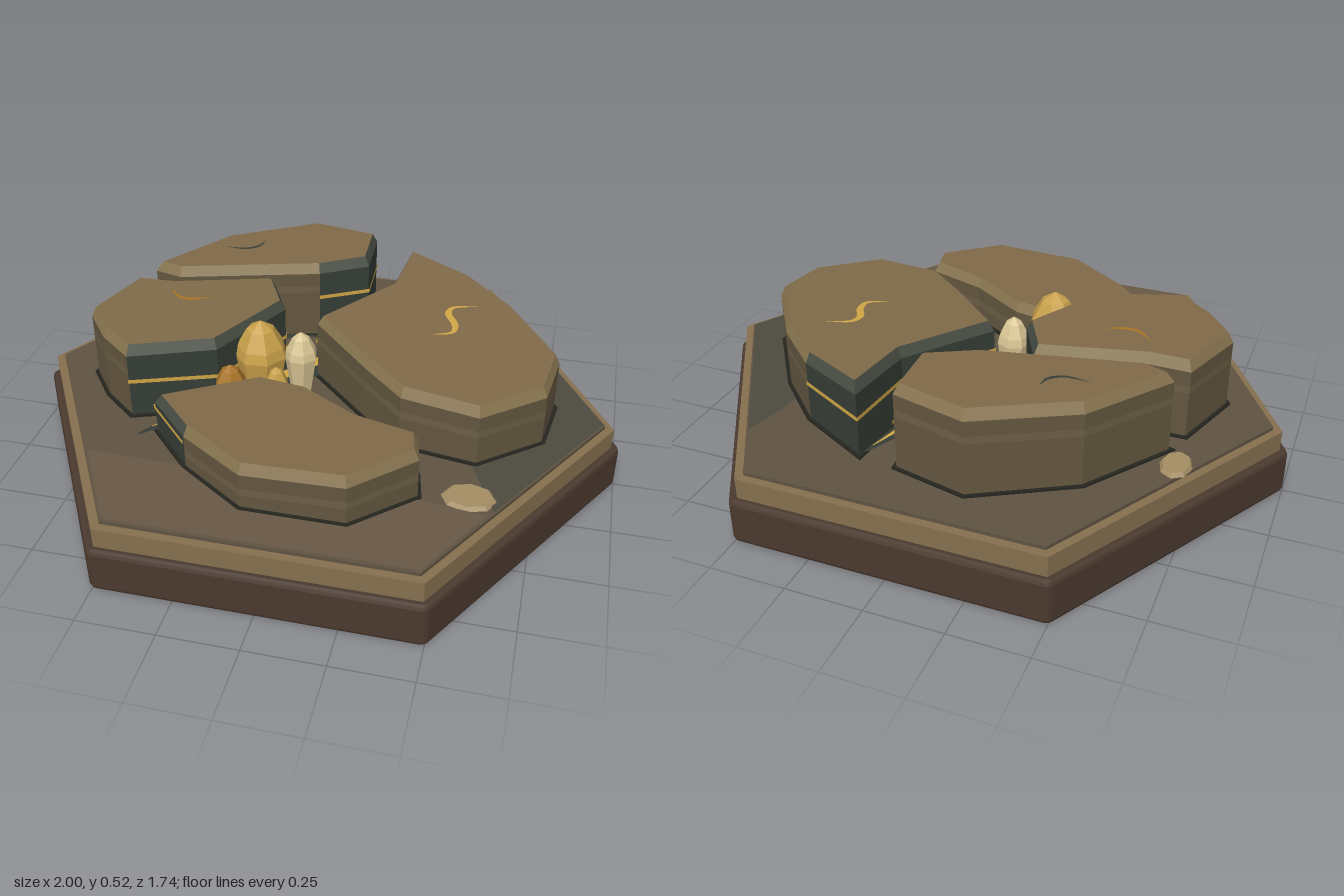
import * as THREE from 'three';

const C = {
  base: 0x4a392e, tier: 0x85704f, floor: 0x5f5342, stain: 0x4d4a3e, warm: 0x675745, dark: 0x24251f,
  side: 0x62563f, band: 0x6b5e45, rim: 0x87744f, top: 0x7f6a48, crack: 0x363d36, crackRim: 0x474d43,
  gold: 0xd0a645, amber: 0xa87428, pale: 0xd9c594, honey: 0xc8a04a, pebble: 0xa38d63,
};
const FLOOR = 0.23;

function add(parent, name, geometry, color, doubleSided = false) {
  const material = new THREE.MeshStandardMaterial({
    color, flatShading: true, side: doubleSided ? THREE.DoubleSide : THREE.FrontSide,
  });
  const mesh = new THREE.Mesh(geometry, material);
  mesh.name = name;
  parent.add(mesh);
  return mesh;
}

function fromPositions(pos) {
  const g = new THREE.BufferGeometry();
  g.setAttribute('position', new THREE.Float32BufferAttribute(pos, 3));
  g.computeVertexNormals();
  return g;
}

// Hexagonal slab with rounded corners and a bevelled edge
function hexSlab(radius, corner, y0, y1, bevel) {
  const shape = new THREE.Shape();
  for (let i = 0; i < 6; i++) {
    const a = i * Math.PI / 3, d = radius - corner;
    shape.absarc(d * Math.cos(a), d * Math.sin(a), corner, a - Math.PI / 6, a + Math.PI / 6, false);
  }
  const g = new THREE.ExtrudeGeometry(shape, {
    depth: y1 - y0 - 2 * bevel, curveSegments: 4, bevelEnabled: bevel > 0,
    bevelThickness: bevel, bevelSize: bevel, bevelOffset: -bevel, bevelSegments: 2,
  });
  return g.translate(0, 0, bevel).rotateX(-Math.PI / 2).translate(0, y0, 0);
}

// Outline moved inward by d (negative moves outward), mitred at the corners
function inset(pts, d) {
  const n = pts.length;
  const normal = (a, b) => {
    const l = Math.hypot(b[0] - a[0], b[1] - a[1]);
    return [-(b[1] - a[1]) / l, (b[0] - a[0]) / l];
  };
  return pts.map((p, i) => {
    const u = normal(pts[(i + n - 1) % n], p), v = normal(p, pts[(i + 1) % n]);
    const k = d / Math.max(0.35, 1 + u[0] * v[0] + u[1] * v[1]);
    return [p[0] + (u[0] + v[0]) * k, p[1] + (u[1] + v[1]) * k];
  });
}

const ring = (pts, y) => pts.map(([x, z]) => [x, typeof y === 'function' ? y(x, z) : y, z]);

function wall(lower, upper, keep) {
  const pos = [];
  lower.forEach((a, i) => {
    if (!keep(i)) return;
    const j = (i + 1) % lower.length;
    pos.push(...a, ...upper[i], ...upper[j], ...a, ...upper[j], ...lower[j]);
  });
  return fromPositions(pos);
}

function cap(r) {
  const tris = THREE.ShapeUtils.triangulateShape(r.map(p => new THREE.Vector2(p[0], p[2])), []);
  return fromPositions(tris.flatMap(([a, b, c]) => [...r[a], ...r[c], ...r[b]]));
}

// Raised stone plate: banded walls, dark faces along the crack, gold seam, bevelled rim
function plate(parent, { name, pts, cracked, seam, height }) {
  const g = new THREE.Group();
  g.name = name;
  parent.add(g);
  const isCrack = i => cracked.includes(i), isPlain = i => !isCrack(i), all = () => true;
  const inner = inset(pts, 0.016), outer = inset(pts, -0.012), proud = inset(pts, -0.004);
  const edge = (x, z) => height(x, z) - 0.035;
  const bandLow = (x, z) => height(x, z) - 0.11, bandHigh = (x, z) => height(x, z) - 0.085;
  const rings = [0.22, bandLow, bandHigh, edge].map(y => ring(pts, y));
  add(g, 'plateFooting', wall(ring(outer, 0.22), ring(outer, FLOOR + 0.006), all), C.dark);
  add(g, 'plateFootingTop', cap(ring(outer, FLOOR + 0.006)), C.dark);
  rings.slice(1).forEach((r, k) => {
    add(g, 'plateSide', wall(rings[k], r, isPlain), k === 1 ? C.band : C.side);
  });
  add(g, 'crackSide', wall(rings[0], rings[3], isCrack), C.crack);
  add(g, 'goldSeam', wall(ring(proud, seam - 0.007), ring(proud, seam + 0.007), isCrack), C.gold, true);
  add(g, 'plateRim', wall(rings[3], ring(inner, height), isPlain), C.rim);
  add(g, 'crackRim', wall(rings[3], ring(inner, height), isCrack), C.crackRim);
  add(g, 'plateTop', cap(ring(inner, height)), C.top);
}

// Flat ribbon that tapers to both ends, laid on a height
function ribbon(parent, name, path, width, y, color) {
  const curve = new THREE.CatmullRomCurve3(path.map(([x, z]) => new THREE.Vector3(x, 0, z)));
  const n = 24, pos = [], left = [], right = [];
  for (let i = 0; i <= n; i++) {
    const p = curve.getPoint(i / n), t = curve.getTangent(i / n);
    const w = width / 2 * (0.08 + Math.sin(Math.PI * i / n));
    const at = s => [p.x - t.z * w * s, typeof y === 'function' ? y(p.x, p.z) + 0.004 : y, p.z + t.x * w * s];
    left.push(at(-1));
    right.push(at(1));
  }
  for (let i = 0; i < n; i++) {
    pos.push(...left[i], ...right[i + 1], ...left[i + 1], ...left[i], ...right[i], ...right[i + 1]);
  }
  add(parent, name, fromPositions(pos), color, true);
}

function crystal(parent, x, z, radius, top, color, sides) {
  const h = top - FLOOR;
  const profile = [[0.65, 0], [1, 0.58], [0.9, 0.7], [0.52, 0.9], [0, 1]]
    .map(([r, y]) => new THREE.Vector2(r * radius, y * h));
  const m = add(parent, 'crystal', new THREE.LatheGeometry(profile, sides), color);
  m.position.set(x, FLOOR, z);
  m.rotation.y = x * 7;
}

export function createModel() {
  const model = new THREE.Group();
  model.name = 'crackedStoneTile';

  // Hexagonal base
  add(model, 'base', hexSlab(1, 0.03, 0, 0.15, 0.014), C.base);
  add(model, 'upperTier', hexSlab(0.975, 0.006, 0.14, 0.218, 0), C.tier);
  add(model, 'floor', hexSlab(0.945, 0.004, 0.2, FLOOR, 0), C.floor);

  // Tinted patches on the floor
  add(model, 'darkPatch', cap(ring([[0.58, -0.62], [0.94, 0], [0.64, 0.52], [0.5, 0.2], [0.54, -0.45]], FLOOR + 0.002)), C.stain);
  add(model, 'warmPatch', cap(ring([[-0.64, 0.51], [-0.3, 0.52], [0.3, 0.5], [0.62, 0.54], [0.47, 0.81], [-0.47, 0.81]], FLOOR + 0.003)), C.warm);

  // Four stone plates
  const heights = {
    right: (x, z) => 0.465 - 0.03 * x - 0.035 * z,
    back: x => 0.52 + 0.02 * x,
    left: (x, z) => 0.505 + 0.015 * x - 0.01 * z,
    front: x => 0.39 + 0.03 * x,
  };
  plate(model, {
    name: 'largePlate', cracked: [0, 8, 9], seam: 0.365, height: heights.right,
    pts: [[0.19, -0.62], [0.43, -0.49], [0.6, -0.32], [0.775, -0.06], [0.75, 0.14], [0.56, 0.3], [0.31, 0.26], [0.17, 0.13], [-0.035, -0.08], [0.165, -0.36]],
  });
  plate(model, {
    name: 'backPlate', cracked: [1, 2], seam: 0.39, height: heights.back,
    pts: [[-0.18, -0.69], [0.06, -0.635], [0.07, -0.43], [-0.09, -0.34], [-0.57, -0.22], [-0.67, -0.25], [-0.48, -0.52]],
  });
  plate(model, {
    name: 'sidePlate', cracked: [2, 3, 4], seam: 0.365, height: heights.left,
    pts: [[-0.7, -0.16], [-0.57, -0.16], [-0.23, -0.25], [-0.15, -0.09], [-0.3, 0.2], [-0.57, 0.3], [-0.69, 0.2], [-0.78, 0.08]],
  });
  plate(model, {
    name: 'frontPlate', cracked: [0, 8], seam: 0.325, height: heights.front,
    pts: [[-0.46, 0.36], [-0.16, 0.19], [0, 0.22], [0.19, 0.34], [0.39, 0.4], [0.41, 0.5], [0.23, 0.67], [-0.09, 0.67], [-0.31, 0.52]],
  });

  // Crack in the floor with its gold vein
  const main = [[-0.51, 0.4], [-0.34, 0.2], [-0.17, 0], [0, -0.21], [0.1, -0.37], [0.18, -0.6]];
  ribbon(model, 'crack', main, 0.12, FLOOR + 0.008, C.crack);
  ribbon(model, 'crackBranch', [[-0.12, -0.1], [0.02, -0.22], [0.16, -0.36]], 0.06, FLOOR + 0.009, C.crack);
  ribbon(model, 'crackBranch', [[-0.57, -0.21], [-0.32, -0.26], [-0.09, -0.32]], 0.04, FLOOR + 0.009, C.crack);
  ribbon(model, 'goldVein', [[-0.48, 0.36], ...main.slice(1, 5), [0.17, -0.57]], 0.04, FLOOR + 0.014, C.gold);
  ribbon(model, 'veinBranch', [[-0.14, -0.12], [-0.17, -0.19], [-0.22, -0.25]], 0.022, FLOOR + 0.013, C.amber);

  // Engraved squiggles on the plate tops
  ribbon(model, 'goldMark', [[0.48, -0.27], [0.4, -0.24], [0.39, -0.2], [0.42, -0.14], [0.42, -0.09], [0.36, -0.06]], 0.022, heights.right, C.gold);
  ribbon(model, 'amberMark', [[-0.55, -0.08], [-0.5, -0.035], [-0.45, -0.035], [-0.4, -0.06]], 0.016, heights.left, C.amber);
  ribbon(model, 'darkMark', [[-0.46, -0.41], [-0.38, -0.41], [-0.34, -0.44], [-0.33, -0.48]], 0.012, heights.back, C.crack);

  // Crystal cluster
  const crystals = new THREE.Group();
  crystals.name = 'crystalCluster';
  model.add(crystals);
  crystal(crystals, -0.185, 0.09, 0.088, 0.525, C.honey, 7);
  crystal(crystals, -0.07, 0.01, 0.056, 0.45, C.pale, 7);
  crystal(crystals, -0.255, 0.21, 0.056, 0.42, C.amber, 6);
  crystal(crystals, -0.115, 0.16, 0.042, 0.4, C.honey, 6);

  // Flat pebbles
  for (const [x, z, rx, rz] of [[-0.71, -0.32, 0.05, 0.07], [0.56, 0.47, 0.085, 0.065]]) {
    const pebble = add(model, 'pebble', new THREE.CylinderGeometry(0.85, 1, 0.012, 8), C.pebble);
    pebble.scale.set(rx, 1, rz);
    pebble.position.set(x, FLOOR + 0.006, z);
  }
  return model;
}
